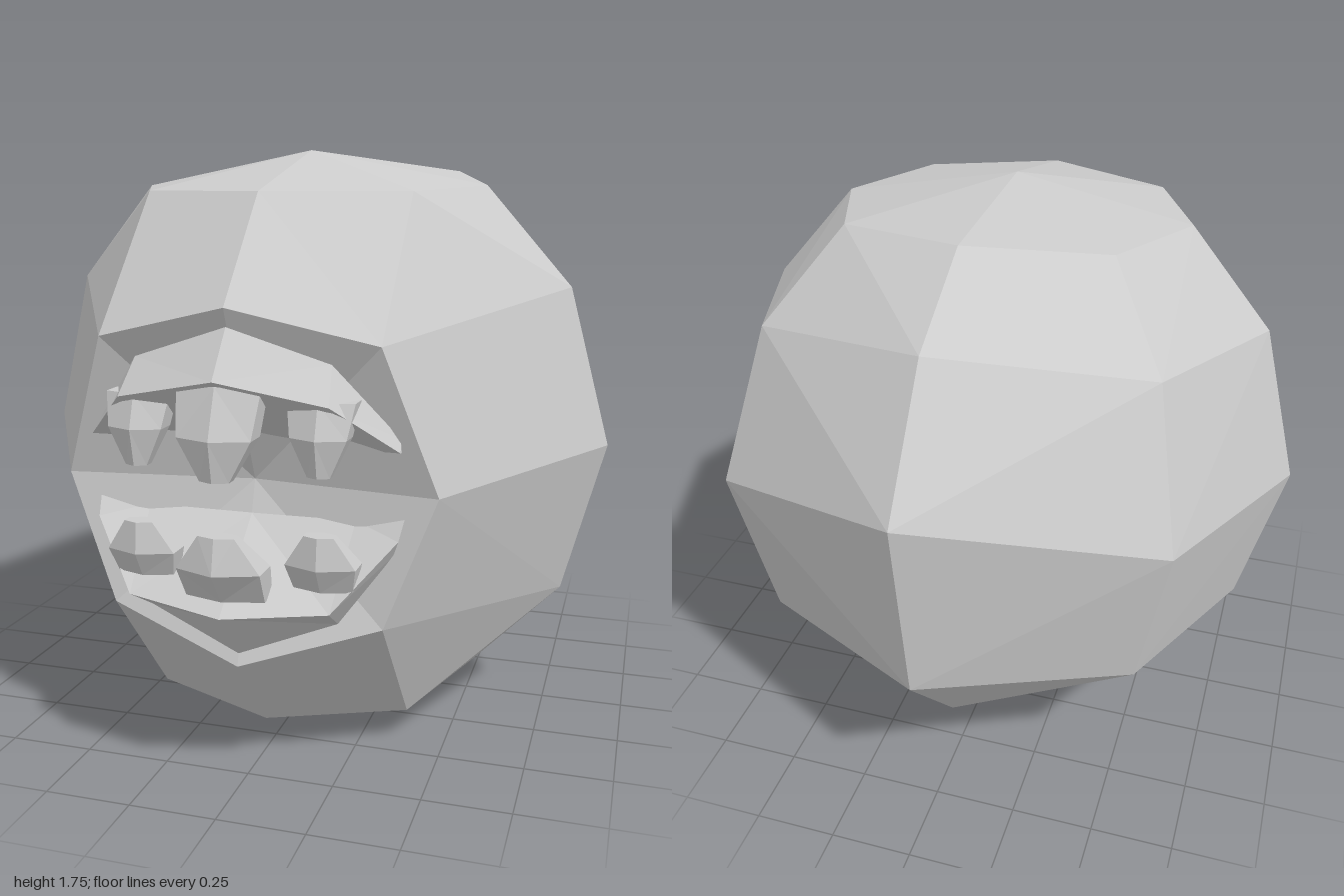
import * as THREE from 'three';

const V = (p) => new THREE.Vector3(...p);

// Skin a stack of equal loops and close both ends with fans to a point
function loft(loops, start, end) {
  const rows = loops.map((l) => l.map(V));
  const mid = (r) => r.reduce((s, p) => s.add(p), new THREE.Vector3()).divideScalar(r.length);
  const first = rows[0], last = rows[rows.length - 1], n = first.length;
  const s = start ? V(start) : mid(first), e = end ? V(end) : mid(last);
  const tris = [];
  for (let j = 0; j < n; j++) {
    const k = (j + 1) % n;
    tris.push(s, first[k], first[j]);
    for (let i = 0; i < rows.length - 1; i++) {
      const a = rows[i][j], b = rows[i + 1][j], c = rows[i + 1][k], d = rows[i][k];
      // split each quad along its shorter diagonal
      if (a.distanceTo(c) < b.distanceTo(d)) tris.push(a, d, c, a, c, b);
      else tris.push(a, d, b, d, c, b);
    }
    tris.push(e, last[j], last[k]);
  }
  const g = new THREE.BufferGeometry().setFromPoints(tris);
  g.computeVertexNormals();
  return g;
}

const flipX = ([x, y, z]) => [-x, y, z];

// Half a ring (back, side, front) mirrored to a full loop
const fullRing = (h) => [...h, ...h.slice(1, -1).reverse().map(flipX)];

// Lip sections from the left corner to the middle, mirrored to the right corner
const fullLip = (h) => [...h, ...h.slice(0, -1).reverse().map((s) => s.map(flipX))];

// Six-sided tooth; each level is [y, z, halfWidth, halfDepth], top to bottom
function tooth(x, levels) {
  return loft(levels.map(([y, z, w, d]) => {
    const loop = [];
    for (let i = 0; i < 6; i++) {
      const a = (i * Math.PI) / 3;
      loop.push([x + (Math.sin(a) * w) / 0.866, y, z - Math.cos(a) * d]);
    }
    return loop;
  }));
}

export function createModel() {
  const group = new THREE.Group();
  const grey = new THREE.MeshStandardMaterial({ color: 0xcccccc, flatShading: true });
  grey.name = 'stone grey';
  const add = (name, geometry) => {
    const mesh = new THREE.Mesh(geometry, grey);
    mesh.name = name;
    group.add(mesh);
  };

  // Faceted head; the front point of the middle ring is pushed in for the mouth
  const head = [
    [[0, 1.725, -0.43], [0.39, 1.685, -0.28], [0.54, 1.64, 0.11], [0.39, 1.625, 0.45], [0, 1.625, 0.61]],
    [[0, 1.555, -0.74], [0.57, 1.44, -0.49], [0.795, 1.345, 0.09], [0.39, 1.245, 0.8], [0, 1.34, 0.88]],
    [[0, 1.2, -1], [0.66, 1.0, -0.65], [0.92, 0.868, 0.065], [0.53, 0.845, 0.73], [0, 0.845, 0.66]],
    [[0, 0.6, -0.92], [0.57, 0.515, -0.59], [0.795, 0.395, 0.04], [0.39, 0.48, 0.757], [0, 0.355, 0.82]],
    [[0, 0.21, -0.585], [0.39, 0.235, -0.37], [0.54, 0.13, 0.03], [0.39, 0.1, 0.43], [0, 0.095, 0.59]],
  ];
  add('head', loft(head.map(fullRing), [0, 1.745, 0.12], [0, 0, 0.015]));

  // Upper lip sections: outer top, inner back, front edge
  add('upperLip', loft(fullLip([
    [[0.43, 1.0, 0.74], [0.43, 0.96, 0.71], [0.435, 0.97, 0.77]],
    [[0.27, 1.2, 0.83], [0.3, 0.95, 0.68], [0.285, 1.105, 0.91]],
    [[0, 1.29, 0.865], [0, 0.95, 0.66], [0, 1.165, 0.967]],
  ])));

  // Lower lip sections: front edge, inner back, outer bottom
  add('lowerLip', loft(fullLip([
    [[0.43, 0.73, 0.76], [0.44, 0.79, 0.72], [0.41, 0.68, 0.73]],
    [[0.28, 0.56, 0.89], [0.3, 0.76, 0.7], [0.27, 0.49, 0.77]],
    [[0, 0.54, 0.95], [0, 0.755, 0.69], [0, 0.39, 0.81]],
  ])));

  // Middle teeth
  add('upperMiddleTooth', tooth(0, [
    [1.15, 0.89, 0.115, 0.06], [1.02, 0.93, 0.1, 0.07], [0.91, 0.945, 0.04, 0.035],
  ]));
  add('lowerMiddleTooth', tooth(0, [
    [0.765, 0.945, 0.05, 0.03], [0.67, 0.91, 0.115, 0.085], [0.58, 0.87, 0.11, 0.06],
  ]));

  // Side teeth
  for (const [side, s] of [['left', 1], ['right', -1]]) {
    add(side + 'UpperTooth', tooth(s * 0.25, [
      [1.11, 0.83, 0.09, 0.06], [1.02, 0.86, 0.075, 0.06], [0.92, 0.87, 0.03, 0.03],
    ]));
    add(side + 'LowerTooth', tooth(s * 0.25, [
      [0.765, 0.87, 0.04, 0.03], [0.68, 0.84, 0.095, 0.07], [0.61, 0.82, 0.08, 0.05],
    ]));
  }
  return group;
}
